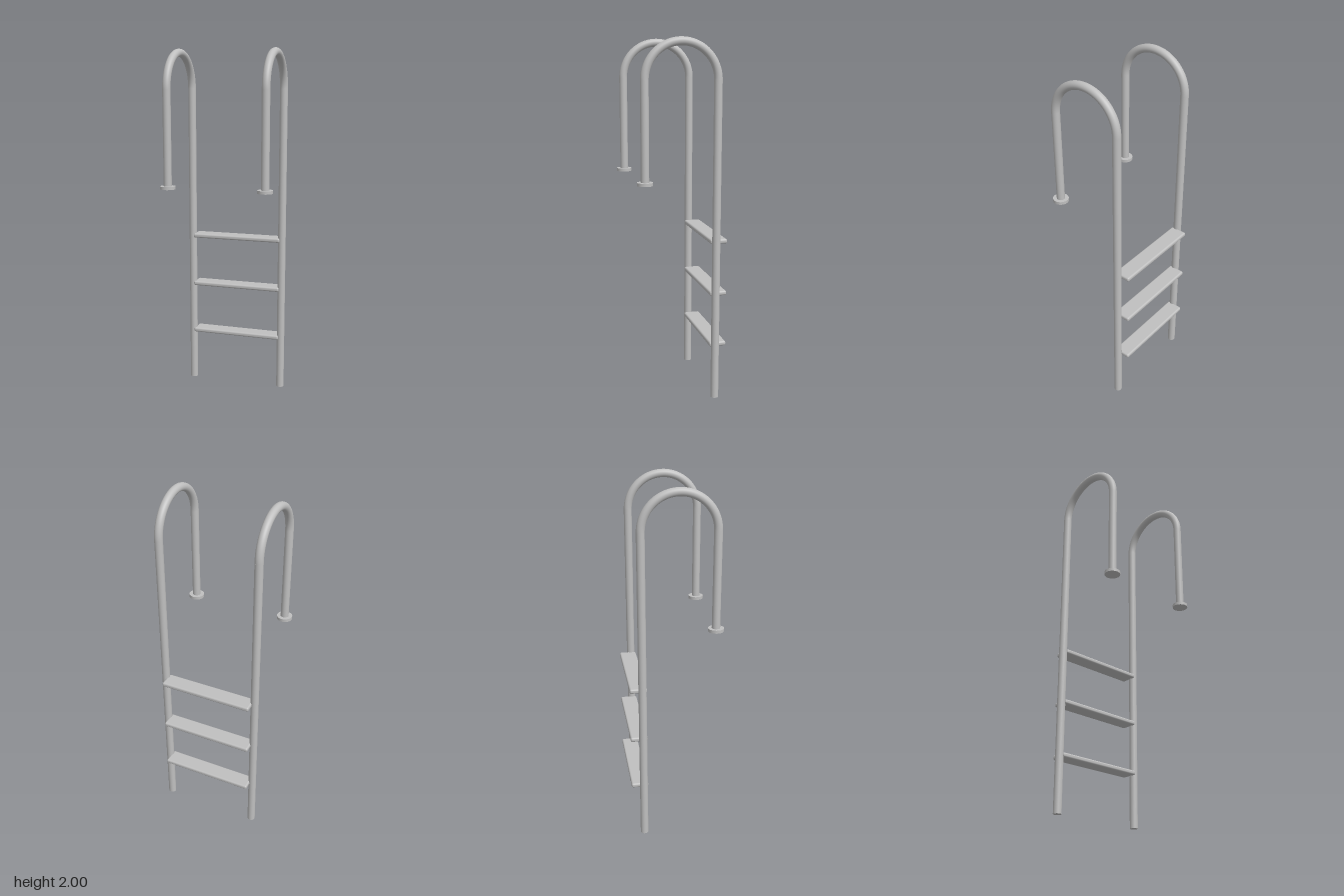
import * as THREE from 'three';
import { RoundedBoxGeometry } from 'three/addons/geometries/RoundedBoxGeometry.js';

const RAIL_X = 0.277, RADIUS = 0.0225;
const BACK_Z = -0.187, FRONT_Z = 0.21;
const BEND_Y = 1.78, FOOT_Y = 1.238;
const BEND_Z = (BACK_Z + FRONT_Z) / 2, BEND_R = (FRONT_Z - BACK_Z) / 2;

// Half circle over the deck edge, from the back post to the front leg
class HandrailArc extends THREE.Curve {
  getPoint(t, target = new THREE.Vector3()) {
    const a = Math.PI * t;
    return target.set(0, BEND_R * Math.sin(a), -BEND_R * Math.cos(a));
  }
}

export function createModel() {
  const model = new THREE.Group();
  model.name = 'poolLadder';
  const steel = new THREE.MeshStandardMaterial({ color: 0xbfbfbf });
  steel.name = 'brushed steel';

  const add = (parent, name, geometry, x, y, z) => {
    const mesh = new THREE.Mesh(geometry, steel);
    mesh.name = name;
    mesh.position.set(x, y, z);
    parent.add(mesh);
  };
  // Upright round bar between two heights
  const bar = (parent, name, radius, y0, y1, z) =>
    add(parent, name, new THREE.CylinderGeometry(radius, radius, y1 - y0, 32), 0, (y0 + y1) / 2, z);

  // Two matching rails: post, bend, front leg and deck flange
  for (const side of [-1, 1]) {
    const rail = new THREE.Group();
    rail.name = side > 0 ? 'leftRail' : 'rightRail';
    rail.position.x = side * RAIL_X;
    bar(rail, 'backPost', RADIUS, 0, BEND_Y, BACK_Z);
    bar(rail, 'frontLeg', RADIUS, FOOT_Y, BEND_Y, FRONT_Z);
    bar(rail, 'deckFlange', 0.043, FOOT_Y, 1.255, FRONT_Z);
    add(rail, 'handrailBend', new THREE.TubeGeometry(new HandrailArc(), 48, RADIUS, 32), 0, BEND_Y, BEND_Z);
    model.add(rail);
  }

  // Three flat treads with rounded edges
  [0.31, 0.608, 0.906].forEach((y, i) =>
    add(model, `step${i + 1}`, new RoundedBoxGeometry(0.534, 0.026, 0.096, 4, 0.01), 0, y, -0.207));

  return model;
}
